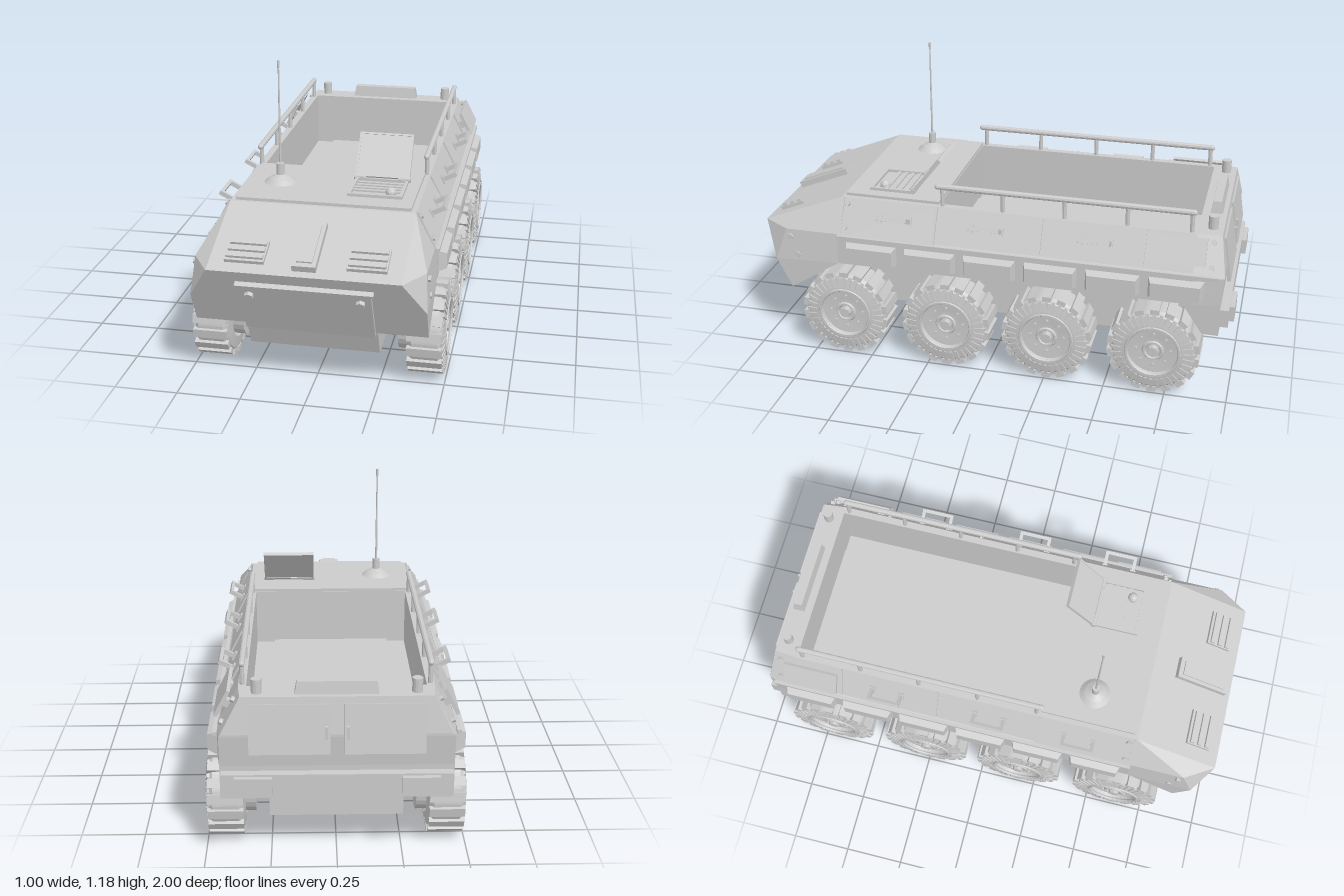
import * as THREE from 'three';
import { mergeGeometries } from 'three/addons/utils/BufferGeometryUtils.js';
import { ConvexGeometry } from 'three/addons/geometries/ConvexGeometry.js';

const mat = new THREE.MeshStandardMaterial({ color: 0xcccccc, flatShading: true });
const SIDES = [1, -1];

function add(parent, name, geo, x = 0, y = 0, z = 0) {
  const m = new THREE.Mesh(geo, mat);
  m.name = name;
  m.position.set(x, y, z);
  parent.add(m);
  return m;
}
const box = (w, h, d) => new THREE.BoxGeometry(w, h, d);
const cyl = (r, h, n = 16, r2 = r) => new THREE.CylinderGeometry(r2, r, h, n);

function frame(parent, name, x, y, z) {
  const g = new THREE.Group();
  g.name = name;
  g.position.set(x, y, z);
  parent.add(g);
  return g;
}

// Convex solid from right-hand points, mirrored across x
function mirroredHull(points) {
  return new ConvexGeometry(points.flatMap(([x, y, z]) => SIDES.map(s => new THREE.Vector3(s * x, y, z))));
}

// Side profile of [z, y] points extruded across the width
function sideProfile(points, width) {
  const shape = new THREE.Shape(points.map(([z, y]) => new THREE.Vector2(-z, y)));
  return new THREE.ExtrudeGeometry(shape, { depth: width, bevelEnabled: false })
    .translate(0, 0, -width / 2).rotateY(Math.PI / 2);
}

// Box whose +x face is inset
function taperedBox(w, h, d, inset) {
  const g = box(w, h, d), p = g.attributes.position;
  for (let i = 0; i < p.count; i++) {
    if (p.getX(i) < 0) continue;
    p.setY(i, p.getY(i) - Math.sign(p.getY(i)) * inset);
    p.setZ(i, p.getZ(i) - Math.sign(p.getZ(i)) * inset);
  }
  g.computeVertexNormals();
  return g;
}

// Wheel with local +y pointing outward
function wheelGeometry() {
  const profile = [[0, -.06], [.1, -.06], [.113, -.074], [.16, -.068], [.177, -.05], [.177, .05],
    [.16, .067], [.118, .074], [.11, .074], [.105, .052], [.05, .048], [0, .048]];
  const parts = [new THREE.LatheGeometry(profile.map(p => new THREE.Vector2(...p)), 36)];
  for (let i = 0; i < 18; i++) {
    parts.push(box(.022, .136, .036).translate(.177, 0, 0).rotateY(i * Math.PI / 9));
  }
  for (let i = 0; i < 36; i++) {
    parts.push(box(.045, .01, .014).rotateZ(-.16).translate(.147, .069, 0).rotateY(i * Math.PI / 18));
  }
  parts.push(new THREE.TorusGeometry(.108, .007, 6, 32).rotateX(Math.PI / 2).translate(0, .073, 0));
  parts.push(new THREE.TorusGeometry(.037, .008, 6, 20).rotateX(Math.PI / 2).translate(0, .06, 0));
  parts.push(cyl(.022, .04, 8).translate(0, .056, 0));
  for (let i = 0; i < 8; i++) {
    parts.push(cyl(.006, .012, 6).translate(.07, .053, 0).rotateY(i * Math.PI / 4));
  }
  // Hub and axle steps on the inner side
  parts.push(cyl(.1, .045, 24).translate(0, -.09, 0));
  parts.push(cyl(.055, .045, 20).translate(0, -.13, 0));
  parts.push(cyl(.03, .06, 16).translate(0, -.16, 0));
  return mergeGeometries(parts);
}

function buildHull(g) {
  add(g, 'lowerHull', sideProfile([[.80, .145], [.87, .3], [.7, .44], [-.86, .44], [-.86, .145]], .51));
  add(g, 'nose', mirroredHull([[.365, .67, .65], [.44, .53, .65], [.45, .4, .65], [.365, .53, 1],
    [.44, .53, .88], [.45, .39, .93], [.45, .262, .866]]));
  add(g, 'frontDeckBlock', mirroredHull([.65, .23].flatMap(z =>
    [[.365, .67, z], [.437, .53, z], [.45, .52, z], [.45, .4, z]])));
  add(g, 'rearBlock', mirroredHull([[.365, .67, -.83], [.437, .53, -.83], [.45, .52, -.83], [.45, .4, -.83],
    [.355, .67, -.93], [.425, .53, -.955], [.435, .52, -.955], [.435, .4, -.945]]));

  // Open cargo well
  const half = [[.45, .4], [.45, .52], [.437, .53], [.365, .67], [.335, .67], [.335, .43]];
  const outline = [...half, ...half.slice().reverse().map(([x, y]) => [-x, y])];
  add(g, 'cargoWell', new THREE.ExtrudeGeometry(new THREE.Shape(outline.map(p => new THREE.Vector2(...p))),
    { depth: 1.06, bevelEnabled: false }), 0, 0, -.83);

  // Rear fender, bumper, lights and doors
  add(g, 'rearFender', sideProfile([[-.79, .4], [-.88, .265], [-.945, .265], [-.945, .4]], .87));
  add(g, 'bumper', box(.86, .075, .04), 0, .342, -.96);
  for (const s of SIDES) {
    add(g, 'tailLight', box(.14, .065, .03), s * .31, .34, -.985);
    const door = add(g, 'rearDoor', box(.3, .19, .014), s * .175, .55, -.951);
    door.rotation.x = .16;
    add(g, 'doorHandle', box(.012, .05, .015), s * .04, .54, -.962);
  }
}

function buildNoseDetails(g) {
  const glacis = frame(g, 'glacisDetails', 0, .6, .825);
  glacis.rotation.x = .38;
  add(glacis, 'driverVisor', box(.09, .03, .24), 0, .012, .04);
  add(glacis, 'visorInset', box(.06, .01, .2), 0, .028, .04);
  for (const s of SIDES) {
    add(glacis, 'ventBase', box(.15, .016, .11), s * .23, .006, .085);
    for (const z of [.05, .085, .12]) add(glacis, 'ventSlat', box(.14, .016, .018), s * .23, .016, z);
  }
  const plate = frame(g, 'frontPlate', 0, .395, .933);
  plate.rotation.x = .464;
  add(plate, 'lowerPlate', box(.5, .25, .02), 0, -.035, .004);
  add(plate, 'plateLip', box(.52, .012, .03), 0, .093, .006);
  for (const s of SIDES) {
    add(plate, 'plateBolt', cyl(.018, .02, 6).rotateX(Math.PI / 2), s * .21, .045, .02);
  }
}

function buildSides(g) {
  for (const s of SIDES) {
    // Belt boxes
    for (let i = 0; i < 6; i++) {
      const b = add(g, 'beltBox', taperedBox(.045, .095, .228, .016), s * .46, .46, .5 - i * .2535);
      if (s < 0) b.rotation.y = Math.PI;
    }
    add(g, 'beltTrim', box(.016, .014, 1.58), s * .45, .523, -.14);

    // Details on the sloping side: local x points outward
    const slope = frame(g, 'sideSlope', s * .4, .602, 0);
    slope.rotation.z = s * .475;
    for (const z of [.64, .235, -.21, -.63]) add(slope, 'panelSeam', box(.01, .15, .01), s * .002, 0, z);
    for (const z of [.41, .02, -.43]) {
      add(slope, 'gripBar', box(.014, .018, .14), s * .06, 0, z);
      for (const e of SIDES) {
        add(slope, 'gripLeg', box(.06, .018, .014), s * .032, 0, z + e * .063);
        add(slope, 'gripFoot', box(.008, .035, .025), s * .004, 0, z + e * .063);
      }
    }
    add(slope, 'sidePlate', box(.014, .112, .235), s * .03, .005, -.76);
    for (const z of [-.68, -.84]) add(slope, 'plateMount', box(.03, .03, .03), s * .014, .005, z);
    for (const z of [.62, -.9]) for (const y of [-.05, .05]) {
      add(slope, 'sideBolt', cyl(.012, .014, 6).rotateZ(Math.PI / 2), s * .006, y, z);
    }
    for (const [y, z] of [[.5, .9], [.42, .87]]) {
      add(g, 'cheekBolt', cyl(.012, .014, 6).rotateZ(Math.PI / 2), s * .447, y, z - .04);
    }

    // Handrail
    add(g, 'handrail', new THREE.CapsuleGeometry(.012, 1.05, 4, 10).rotateX(Math.PI / 2), s * .35, .753, -.29);
    for (let i = 0; i < 5; i++) add(g, 'railPost', cyl(.009, .085, 8), s * .35, .71, .215 - i * .256);
    add(g, 'rearPost', cyl(.02, .055, 14), s * .295, .697, -.887);
  }
}

function buildDeck(g) {
  add(g, 'deckPanel', box(.69, .014, .405), 0, .675, .435);
  const rearLip = add(g, 'rearSpoiler', taperedBox(.05, .05, .31, .008).rotateZ(Math.PI / 2), 0, .694, -.887);
  rearLip.rotation.y = Math.PI / 2;

  // Antenna
  add(g, 'antennaBase', cyl(.067, .018, 24, .045), -.215, .69, .435);
  add(g, 'antennaCone', cyl(.045, .015, 24, .016), -.215, .706, .435);
  add(g, 'antennaSocket', cyl(.016, .05, 14), -.215, .735, .435);
  add(g, 'antennaRod', cyl(.005, .42, 8, .003), -.215, .96, .435);
  add(g, 'antennaTip', cyl(.005, .03, 8), -.215, 1.168, .435);

  // Hatch with raised lid
  const hatch = frame(g, 'hatch', .188, .685, .455);
  for (const s of SIDES) {
    add(hatch, 'hatchSideRim', box(.012, .014, .19), s * .102, .002, 0);
    add(hatch, 'hatchEndRim', box(.216, .014, .012), 0, .002, s * .09);
    add(hatch, 'hinge', cyl(.011, .05, 10).rotateZ(Math.PI / 2), s * .09, .01, -.095);
  }
  for (let i = 0; i < 4; i++) add(hatch, 'hatchGrille', box(.2, .008, .016), 0, 0, -.06 + i * .03);
  add(hatch, 'hatchKnob', new THREE.SphereGeometry(.022, 14, 8), .057, .004, .045);
  const lid = frame(hatch, 'lid', 0, .008, -.095);
  lid.rotation.x = -.665;
  add(lid, 'lidPanel', box(.22, .19, .01), 0, .098, 0);
  for (const s of SIDES) {
    add(lid, 'lidSideEdge', box(.008, .19, .016), s * .107, .098, 0);
    add(lid, 'lidEndEdge', box(.22, .008, .016), 0, .098 + s * .091, 0);
  }
}

export function createModel() {
  const model = new THREE.Group();
  model.name = 'armouredCarrier';
  buildHull(model);
  buildNoseDetails(model);
  buildSides(model);
  buildDeck(model);

  const wheel = wheelGeometry();
  for (const s of SIDES) for (const z of [.615, .172, -.257, -.695]) {
    add(model, 'wheel', wheel, s * .423, .19, z).rotation.z = -s * Math.PI / 2;
  }
  return model;
}
